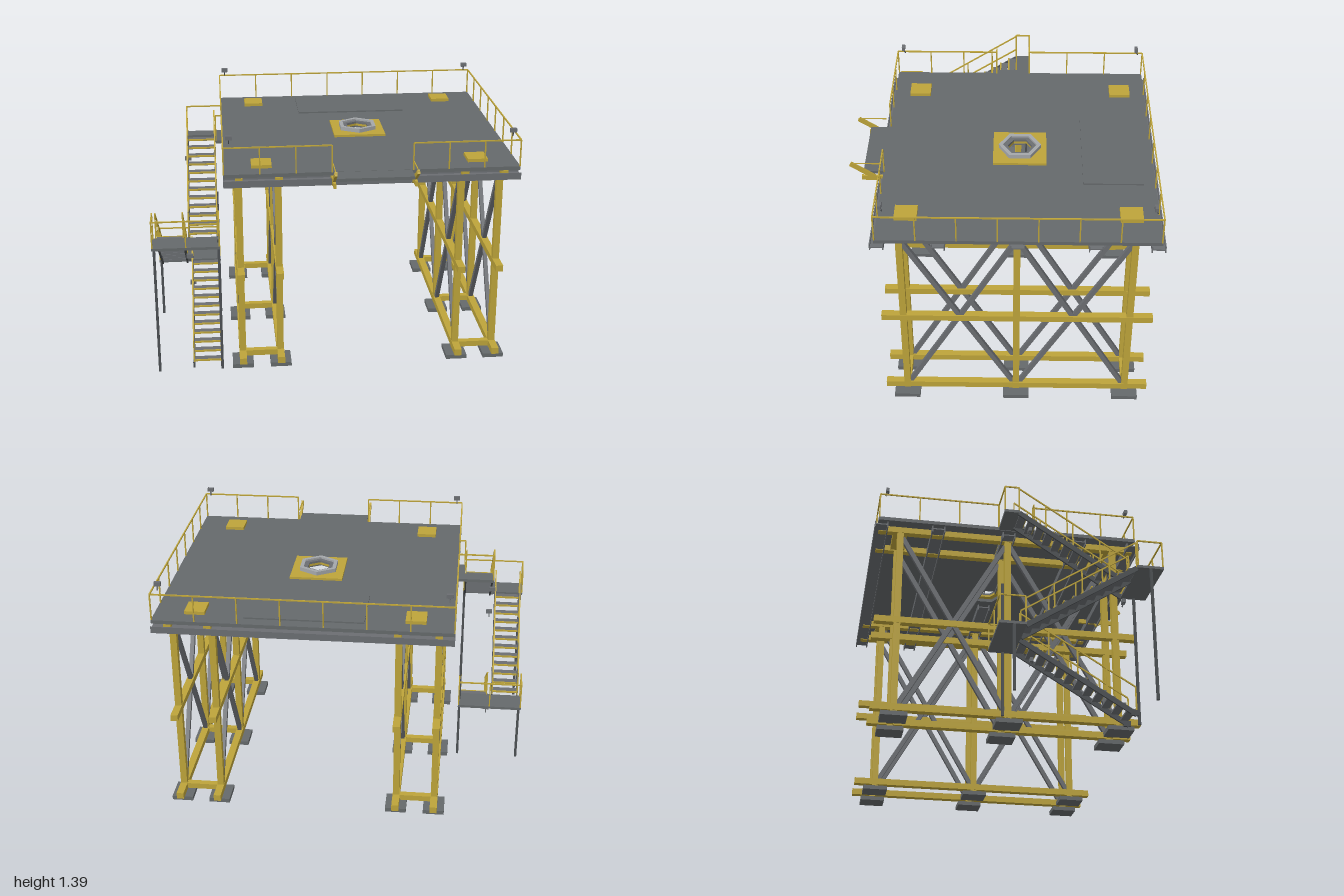
import * as THREE from 'three';

const paint = (name, color) => {
  const m = new THREE.MeshStandardMaterial({ color });
  m.name = name;
  return m;
};

export function createModel() {
  const model = new THREE.Group();
  model.name = 'elevatedPlatform';
  const yellow = paint('yellowSteel', 0xbda43a);
  const gray = paint('deckGray', 0x65696b);
  const steel = paint('braceGray', 0x6b6e72);
  const light = paint('lightGray', 0xa4a7aa);
  const dark = paint('darkSteel', 0x4c5053);

  const group = (name) => {
    const g = new THREE.Group();
    g.name = name;
    model.add(g);
    return g;
  };
  const add = (parent, name, geometry, mat) => {
    const m = new THREE.Mesh(geometry, mat);
    m.name = name;
    parent.add(m);
    return m;
  };
  // Box given by its limits on each axis
  const box = (parent, name, mat, x0, x1, y0, y1, z0, z1) => {
    const m = add(parent, name, new THREE.BoxGeometry(x1 - x0, y1 - y0, z1 - z0), mat);
    m.position.set((x0 + x1) / 2, (y0 + y1) / 2, (z0 + z1) / 2);
    return m;
  };
  // Straight bar between two points
  const bar = (parent, name, mat, a, b, w, h = w) => {
    const p = new THREE.Vector3(...a), q = new THREE.Vector3(...b);
    const m = new THREE.Mesh(new THREE.BoxGeometry(w, h, p.distanceTo(q)), mat);
    m.name = name;
    m.position.copy(p).lerp(q, 0.5);
    m.lookAt(q);
    parent.add(m);
    return m;
  };
  // Guard rail: sloped or level top rail with evenly spaced posts
  const rail = (parent, a, b, segments, h = 0.15) => {
    const up = (p) => [p[0], p[1] + h, p[2]];
    bar(parent, 'handrail', yellow, up(a), up(b), 0.007);
    for (let i = 0; i <= segments; i++) {
      const p = a.map((v, k) => v + (b[k] - v) * i / segments);
      box(parent, 'railPost', yellow, p[0] - 0.0035, p[0] + 0.0035, p[1], p[1] + h, p[2] - 0.0035, p[2] + 0.0035);
    }
  };
  const hexPoints = (cx, cz, r) => Array.from({ length: 6 }, (_, i) => {
    const a = Math.PI / 2 + i * Math.PI / 3;
    return new THREE.Vector2(cx + r * Math.cos(a), -cz + r * Math.sin(a));
  });
  // Horizontal plate with a six-sided hole
  const HX = 0.193, HZ = -0.087;
  const plate = (parent, name, mat, points, holeR, y0, y1) => {
    const shape = new THREE.Shape(points);
    shape.holes.push(new THREE.Path(hexPoints(HX, HZ, holeR)));
    const g = new THREE.ExtrudeGeometry(shape, { depth: y1 - y0, bevelEnabled: false });
    g.rotateX(-Math.PI / 2);
    return add(parent, name, g, mat).position.y = y0;
  };
  const rect = (x0, x1, z0, z1) => [[x0, -z1], [x1, -z1], [x1, -z0], [x0, -z0]].map((p) => new THREE.Vector2(...p));

  // Support towers
  const legX = [-0.522, -0.308, 0.698, 0.911], legZ = [0.536, -0.077, -0.69];
  const towers = group('towers');
  for (const x of legX) {
    for (const z of legZ) {
      box(towers, 'leg', yellow, x - 0.018, x + 0.018, 0.043, 1.13, z - 0.018, z + 0.018);
      box(towers, 'footPad', gray, x - 0.059, x + 0.059, 0.005, 0.029, z - 0.072, z + 0.072);
    }
    for (const [y0, y1] of [[0.05, 0.087], [0.564, 0.6], [1.127, 1.161]]) {
      box(towers, 'longBeam', yellow, x - 0.02, x + 0.02, y0, y1, -0.815, 0.655);
    }
    for (let i = 0; i < 2; i++) {
      const a = legZ[i] - 0.015, b = legZ[i + 1] + 0.015;
      bar(towers, 'crossBrace', steel, [x, 1.1, a], [x, 0.08, b], 0.024, 0.026);
      bar(towers, 'crossBrace', steel, [x, 0.08, a], [x, 1.1, b], 0.022, 0.026);
    }
  }
  for (const k of [0, 2]) {
    for (const z of legZ) {
      box(towers, 'bottomTie', yellow, legX[k], legX[k + 1], 0.053, 0.085, z - 0.018, z + 0.018);
      box(towers, 'topTie', yellow, legX[k] - 0.019, legX[k + 1] + 0.019, 1.134, 1.163, z - 0.04, z + 0.04);
    }
  }

  // Girders under the deck, lying on their sides
  const girders = group('girders');
  const girder = (x0, x1, z) => {
    box(girders, 'girderWeb', steel, x0, x1, 1.131, 1.138, z - 0.036, z + 0.036);
    for (const s of [-1, 1]) {
      box(girders, 'girderFlange', steel, x0, x1, 1.116, 1.153, z + s * 0.034 - 0.003, z + s * 0.034 + 0.003);
    }
  };
  for (const z of [0.643, 0.329, -0.482, -0.802]) girder(-0.605, 0.995, z);
  girder(-0.605, 0.08, -0.081);
  girder(0.306, 0.995, -0.081);

  // Deck with its plates and central hexagonal port
  const deck = group('deck');
  plate(deck, 'deckPlate', gray, rect(-0.605, 0.995, -0.82, 0.655), 0.1, 1.162, 1.182);
  box(deck, 'hatchCover', gray, -0.128, 0.513, 1.182, 1.19, -0.755, -0.43);
  for (const x of [-0.397, 0.78]) {
    for (const z of [-0.673, 0.505]) {
      box(deck, 'bearingPlate', yellow, x - 0.055, x + 0.055, 1.182, 1.2, z - 0.06, z + 0.06);
    }
  }
  plate(deck, 'portPlate', yellow, rect(0.045, 0.341, -0.235, 0.061), 0.068, 1.182, 1.195);
  plate(deck, 'portRing', light, hexPoints(HX, HZ, 0.118), 0.094, 1.195, 1.217);
  plate(deck, 'portInnerRing', steel, hexPoints(HX, HZ, 0.094), 0.068, 1.195, 1.207);

  // Front loading ledge with raised arms
  const ledge = group('frontLedge');
  box(ledge, 'ledgePlate', gray, -0.015, 0.405, 1.164, 1.181, 0.655, 0.765);
  for (const x of [-0.022, 0.411]) {
    box(ledge, 'ledgeBeam', yellow, x - 0.007, x + 0.007, 1.13, 1.157, 0.56, 0.775);
    bar(ledge, 'ledgeArm', yellow, [x, 1.122, 0.665], [x, 1.232, 0.833], 0.014, 0.024);
    bar(ledge, 'ledgeRail', yellow, [x, 1.235, 0.675], [x, 1.235, 0.835], 0.005);
  }

  // Deck guard rails
  const rails = group('deckRails');
  const Y = 1.18, F = 0.652, B = -0.816, L = 0.992, R = -0.602;
  rail(rails, [L, Y, F], [L, Y, B], 7);
  rail(rails, [R, Y, B], [L, Y, B], 7);
  rail(rails, [R, Y, F], [-0.025, Y, F], 3);
  rail(rails, [0.413, Y, F], [L, Y, F], 3);
  rail(rails, [R, Y, F], [R, Y, 0.06], 3);
  rail(rails, [R, Y, -0.14], [R, Y, B], 3);

  // Stairs: each flight runs between two heights
  const flight = (x0, x1, za, ya, zb, yb) => {
    const g = group('stairFlight');
    const n = 12, dz = (zb - za) / n, dir = Math.sign(dz);
    for (const x of [x0 + 0.006, x1 - 0.006]) {
      bar(g, 'stringer', dark, [x, ya - 0.008, za], [x, yb - 0.008, zb], 0.01, 0.028);
      rail(g, [x, ya, za], [x, yb, zb], 4);
    }
    for (let i = 0; i < n; i++) {
      const y = ya + (yb - ya) * (i + 0.5) / n, z = za + dz * (i + 0.5);
      box(g, 'tread', steel, x0 + 0.01, x1 - 0.01, y, y + 0.01, z - 0.022, z + 0.022);
      box(g, 'treadNosing', yellow, x0 + 0.01, x1 - 0.01, y + 0.002, y + 0.011,
        z - dir * 0.022 - 0.004, z - dir * 0.022 + 0.004);
    }
  };
  flight(-0.805, -0.638, 0.56, 0.015, -0.06, 0.395);
  flight(-0.985, -0.825, -0.06, 0.395, 0.545, 0.785);
  flight(-0.805, -0.638, 0.545, 0.785, -0.06, 1.175);
  for (const x of [-0.8, -0.643]) box(model, 'stairFoot', dark, x - 0.006, x + 0.006, 0, 0.03, 0.53, 0.57);

  // Stair landings with rails on their outer edges
  const landings = group('landings');
  const landing = (y, z0, z1, zOuter, zInner) => {
    box(landings, 'landingPlate', gray, -1, -0.632, y - 0.015, y, z0, z1);
    rail(landings, [-0.996, y, zOuter], [-0.636, y, zOuter], 2);
    rail(landings, [-0.996, y, zInner], [-0.996, y, zOuter], 1);
    rail(landings, [-0.636, y, zInner], [-0.636, y, zOuter], 1);
  };
  landing(0.397, -0.204, -0.06, -0.2, -0.064);
  landing(0.788, 0.545, 0.69, 0.686, 0.549);
  box(landings, 'topLandingPlate', gray, -0.805, -0.605, 1.165, 1.181, -0.14, -0.055);
  box(landings, 'topLandingSill', gray, -0.638, -0.605, 1.165, 1.181, -0.055, 0.06);
  rail(landings, [-0.8, Y, -0.138], [R, Y, -0.138], 1);
  rail(landings, [-0.8, Y, -0.138], [-0.8, Y, -0.058], 1);
  rail(landings, [-0.636, Y, 0.058], [R, Y, 0.058], 1);

  // Slender posts holding the landings
  for (const [x, z, top] of [[-0.99, 0.62, 0.775], [-0.64, 0.62, 0.8], [-0.99, -0.125, 0.385], [-0.64, -0.125, 0.8]]) {
    box(landings, 'landingPost', dark, x - 0.007, x + 0.007, 0.015, top, z - 0.007, z + 0.007);
  }

  // Floodlights at the deck corners and along the stairs
  const lamps = group('floodlights');
  const lamp = (x, y, z) => {
    box(lamps, 'lampHead', steel, x - 0.018, x + 0.018, y - 0.01, y + 0.012, z - 0.009, z + 0.009);
    bar(lamps, 'lampStem', dark, [x, y - 0.01, z], [x, y - 0.033, z - 0.01], 0.006);
  };
  for (const x of [-0.57, 0.955]) for (const z of [-0.775, 0.615]) lamp(x, 1.373, z);
  lamp(-0.8, 1.06, 0);
  lamp(-0.8, 0.665, 0.515);
  lamp(-0.8, 0.272, 0);

  return model;
}
